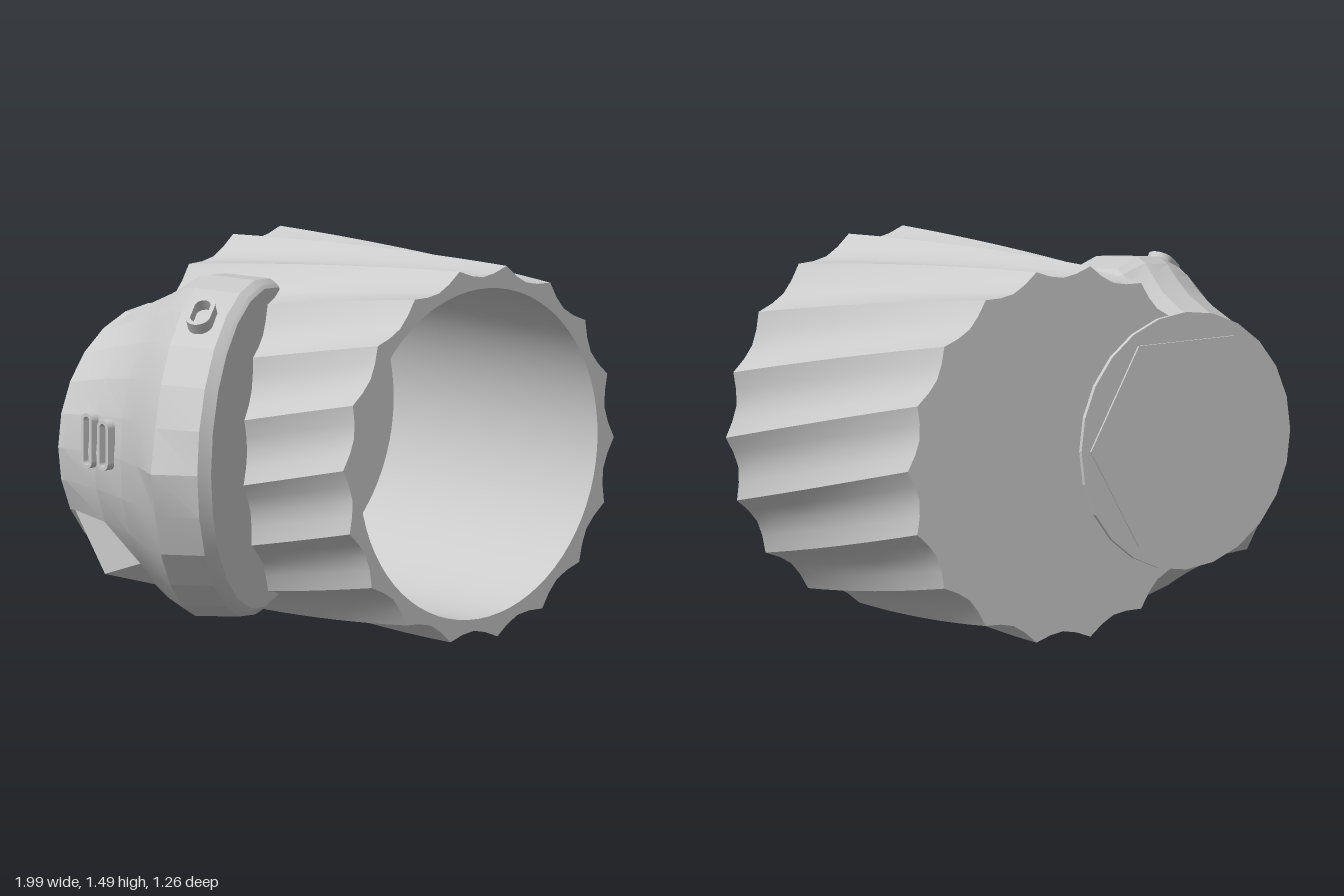
import * as THREE from 'three';
import { toCreasedNormals } from 'three/addons/utils/BufferGeometryUtils.js';

const material = new THREE.MeshStandardMaterial({ color: 0xcccccc });
const rad = THREE.MathUtils.degToRad;
const CX = 0.255, CY = 0.748; // cup axis
const BACK = -0.605, FRONT = 0.63;

function add(parent, name, geometry, x = 0, y = 0, z = 0) {
  const mesh = new THREE.Mesh(geometry, material);
  mesh.name = name;
  mesh.position.set(x, y, z);
  parent.add(mesh);
  return mesh;
}

// Closed skin through equal-length rings, ordered front to back
function loft(rings) {
  const n = rings[0].length, pos = [];
  const tri = (...pts) => pts.forEach((p) => pos.push(p.x, p.y, p.z));
  const centre = (r) => r.reduce((s, p) => s.add(p), new THREE.Vector3()).divideScalar(n);
  const first = rings[0], last = rings[rings.length - 1];
  const c0 = centre(first), c1 = centre(last);
  for (let i = 0; i < n; i++) {
    const j = (i + 1) % n;
    for (let k = 0; k < rings.length - 1; k++) {
      const a = rings[k], b = rings[k + 1];
      tri(a[i], b[i], a[j]);
      tri(a[j], b[i], b[j]);
    }
    tri(c0, first[i], first[j]);
    tri(c1, last[j], last[i]);
  }
  const geometry = new THREE.BufferGeometry();
  geometry.setAttribute('position', new THREE.Float32BufferAttribute(pos, 3));
  return toCreasedNormals(geometry, rad(14));
}

// Fluted, twisted wall with a round bore
function cupWall() {
  const flutes = 18, steps = 4, pts = [];
  for (let i = 0; i < flutes * steps; i++) {
    const t = (i % steps) / steps;
    const r = 0.745 - 0.045 * Math.sin(Math.PI * t);
    const a = rad(-2) + (i / (flutes * steps)) * Math.PI * 2;
    pts.push(new THREE.Vector2(r * Math.cos(a), r * Math.sin(a)));
  }
  const shape = new THREE.Shape(pts);
  shape.holes.push(new THREE.Path().absarc(0, 0, 0.655, 0, Math.PI * 2, true));
  const depth = FRONT - BACK;
  const geometry = new THREE.ExtrudeGeometry(shape, {
    depth, steps: 10, bevelEnabled: false, curveSegments: 36,
  });
  const p = geometry.attributes.position;
  for (let i = 0; i < p.count; i++) {
    const a = rad(22) * (1 - p.getZ(i) / depth);
    const x = p.getX(i), y = p.getY(i);
    p.setXY(i, x * Math.cos(a) - y * Math.sin(a), x * Math.sin(a) + y * Math.cos(a));
  }
  return toCreasedNormals(geometry, rad(22));
}

const disc = (r, depth, sides = 64) =>
  new THREE.CylinderGeometry(r, r, depth, sides).rotateX(Math.PI / 2);

// Rounded slot frame, long along x, facing +z
function slotFrame(length, width, border, depth) {
  const pill = (path, w) => {
    const h = length / 2 - width / 2;
    path.absarc(h, 0, w / 2, -Math.PI / 2, Math.PI / 2, false);
    path.absarc(-h, 0, w / 2, Math.PI / 2, Math.PI * 1.5, false);
    path.closePath();
    return path;
  };
  const shape = pill(new THREE.Shape(), width);
  shape.holes.push(pill(new THREE.Path(), width - 2 * border));
  return new THREE.ExtrudeGeometry(shape, { depth, bevelEnabled: false, curveSegments: 8 });
}

export function createModel() {
  const model = new THREE.Group();
  model.name = 'flutedCupWithTiltedHead';

  // Cup
  const cup = new THREE.Group();
  cup.name = 'cup';
  cup.position.set(CX, CY, 0);
  model.add(cup);
  add(cup, 'cupWall', cupWall(), 0, 0, BACK);
  add(cup, 'cupFloor', disc(0.657, 0.1), 0, 0, BACK + 0.05);
  add(cup, 'floorPlate', disc(0.41, 0.01), 0, 0, BACK + 0.104);
  add(cup, 'floorBoss', disc(0.05, 0.012, 24), 0.15, 0, BACK + 0.112);
  for (const a of [-55, 0, 55]) {
    add(cup, 'floorPin', disc(0.013, 0.01, 8),
      0.3 * Math.cos(rad(a)), 0.3 * Math.sin(rad(a)), BACK + 0.112);
  }

  // Head: tilted drum narrowing to a round foot
  // Each section: centre x, centre z, radius across, radius up, tilt
  const sections = [
    [-0.26, -0.04, 0.632, 0.632, 26],
    [-0.265, -0.05, 0.645, 0.645, 26],
    [-0.278, -0.076, 0.68, 0.665, 26],
    [-0.36, -0.24, 0.675, 0.675, 26],
    [-0.345, -0.31, 0.60, 0.66, 21],
    [-0.33, -0.385, 0.525, 0.62, 14],
    [-0.31, -0.48, 0.50, 0.57, 5],
    [-0.32, -0.595, 0.50, 0.51, 0],
    [-0.32, -0.622, 0.50, 0.51, 0],
  ];
  const sides = 24;
  const rings = sections.map(([x, z, rx, ry, tilt], k) =>
    Array.from({ length: sides }, (_, i) => {
      const a = (i / sides) * Math.PI * 2;
      let s = 1;
      if (k === 3 && i === 12) s = 1.045; // side point
      if (k === 6 && i === 15) s = 1.22; // lower spur
      const u = s * rx * Math.cos(a);
      return new THREE.Vector3(x + u * Math.cos(rad(tilt)), 0.752 + s * ry * Math.sin(a),
        z - u * Math.sin(rad(tilt)));
    }));
  const head = new THREE.Group();
  head.name = 'head';
  model.add(head);
  add(head, 'headBody', loft(rings));

  // Hexagonal plate on the foot
  const hex = new THREE.CylinderGeometry(0.46, 0.46, 0.02, 6)
    .rotateY(Math.PI / 2).rotateX(Math.PI / 2);
  add(head, 'hexPlate', toCreasedNormals(hex, rad(20)), -0.32, 0.75, -0.62);

  // Slots on the side
  for (const [x, z, length] of [[-0.795, -0.45, 0.22], [-0.825, -0.33, 0.2]]) {
    const slot = slotFrame(length, 0.06, 0.014, 0.04).rotateZ(Math.PI / 2).rotateY(-Math.PI / 2);
    add(head, 'sideSlot', slot, x, 0.8, z);
  }

  // Button on the band
  const band = new THREE.Group();
  band.name = 'bandButton';
  band.position.set(-0.26, 0.752, -0.04);
  band.rotation.y = rad(26);
  head.add(band);
  const frame = slotFrame(0.16, 0.1, 0.018, 0.05).rotateX(-Math.PI / 2);
  add(band, 'buttonFrame', frame, -0.36, 0.56, -0.13).rotation.z = rad(33);

  return model;
}
